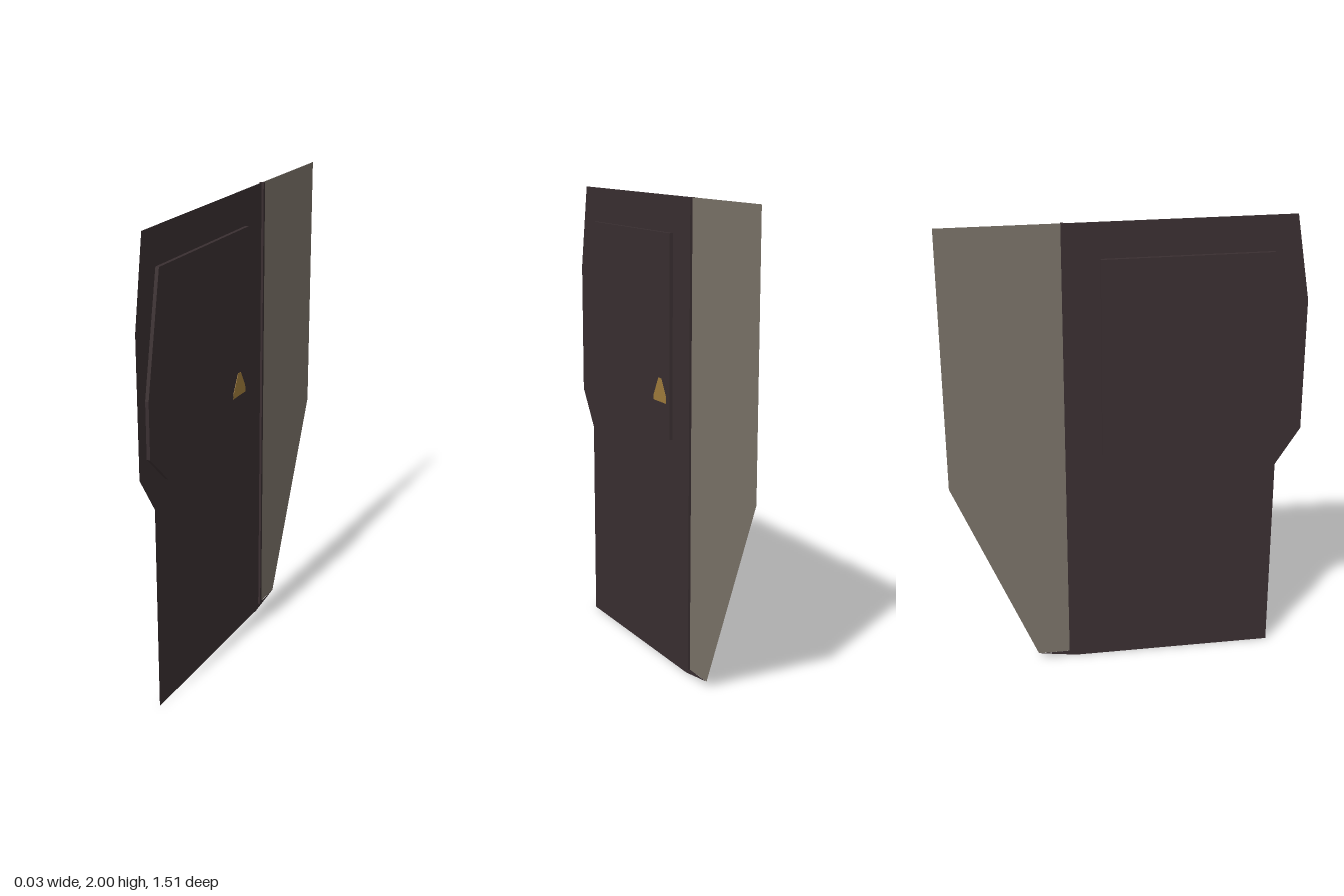
import * as THREE from 'three';

export function createModel() {
  const group = new THREE.Group();
  const mat = (name, color, side = THREE.FrontSide) => {
    const m = new THREE.MeshStandardMaterial({ color, side });
    m.name = name;
    return m;
  };
  const dark = mat('dark brown', 0x3a2f31, THREE.DoubleSide);
  const grey = mat('warm grey', 0x7a7268, THREE.DoubleSide);
  const gold = mat('gold', 0xa07c3c);

  // Outlines are lists of [z, y]; depth runs along x, starting at x0
  const outline = (pts) => new THREE.Shape(pts.map(([z, y]) => new THREE.Vector2(-z, y)));
  const add = (name, geometry, material) => {
    const mesh = new THREE.Mesh(geometry, material);
    mesh.name = name;
    group.add(mesh);
    return mesh;
  };
  const sheet = (name, pts, material) =>
    add(name, new THREE.ShapeGeometry(outline(pts)).rotateY(Math.PI / 2), material);
  const slab = (name, pts, x0, depth, material) =>
    add(name, new THREE.ExtrudeGeometry(outline(pts), { depth, bevelEnabled: false })
      .rotateY(Math.PI / 2).translate(x0, 0, 0), material);

  // Main flat sheet, with a pointed tail along the bottom
  sheet('bodySheet', [
    [0.695, 2], [0.755, 1.635], [0.755, 1.06], [0.65, 0.895], [0.65, 0],
    [-0.23, 0], [-0.395, 0.024], [-0.26, 0.025], [-0.26, 2],
  ], dark);

  // Thin rear fin
  sheet('rearFin', [
    [-0.26, 2], [-0.755, 2], [-0.755, 0.88], [-0.4, 0.025], [-0.26, 0.025],
  ], grey);

  // Raised panel standing out on both faces
  slab('raisedPanel', [
    [0.605, 1.85], [0.7, 1.36], [0.7, 1.125], [0.57, 0.995], [-0.105, 0.995], [-0.105, 1.85],
  ], -0.015, 0.03, dark);

  // Narrow hinge strip between sheet and fin
  const hinge = add('hingeStrip', new THREE.BoxGeometry(0.02, 1.975, 0.012), dark);
  hinge.position.set(0, 1.0125, -0.255);

  // Small latch plate on one face
  slab('latchPlate', [
    [0.03, 1.145], [0.028, 1.168], [-0.012, 1.245], [-0.036, 1.245], [-0.075, 1.175], [-0.078, 1.145],
  ], 0.015, 0.002, gold);

  return group;
}
